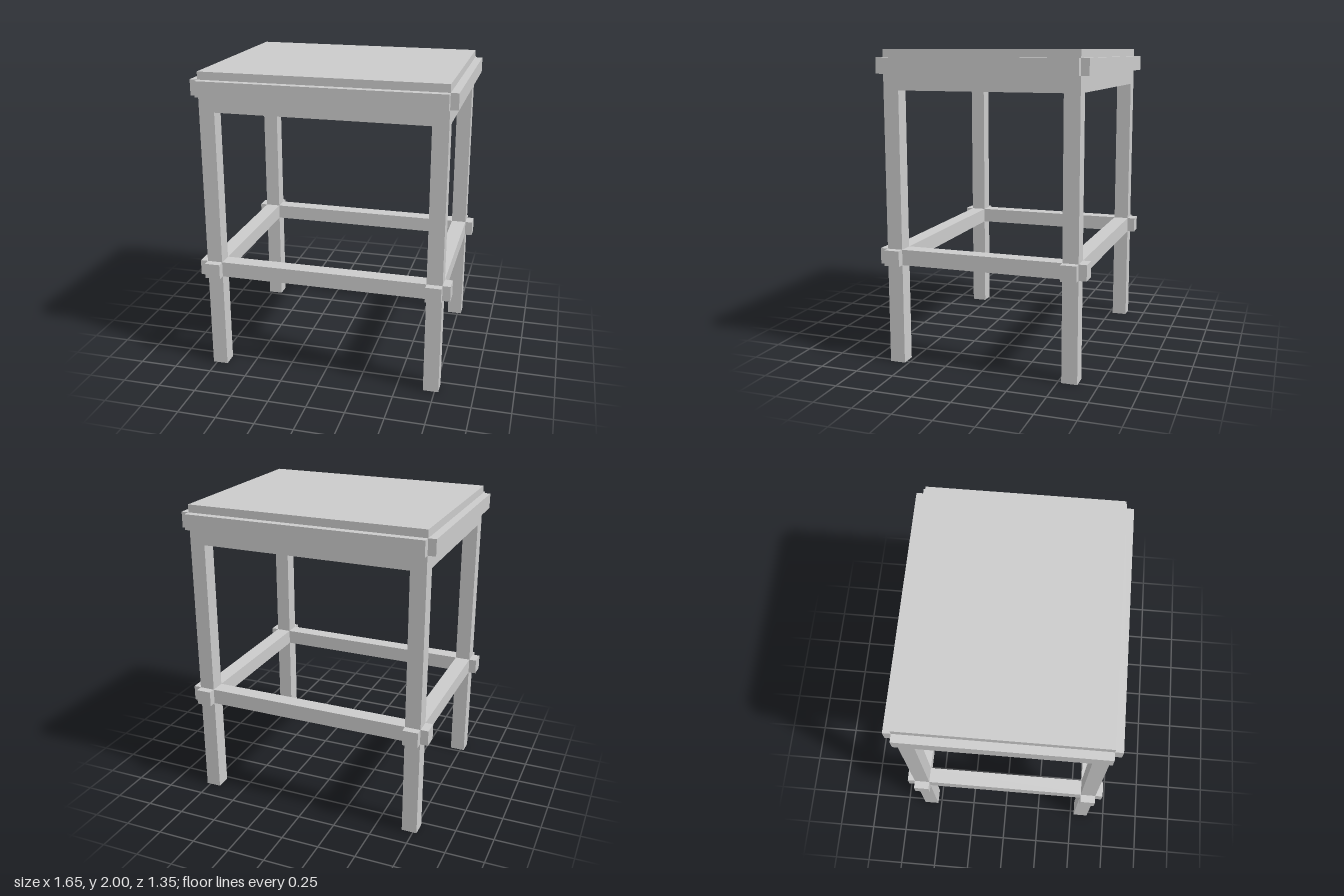
import * as THREE from 'three';

export function createModel() {
  const stool = new THREE.Group();
  stool.name = 'stool';
  const material = new THREE.MeshStandardMaterial({ color: 0xcccccc, flatShading: true });

  const X = 0.775, Z = 0.625;  // half width and half depth of the frame
  const T = 0.1;               // timber thickness
  const OUT = 0.05;            // how far the joints stick out
  const SEAT_BOTTOM = 1.75, SEAT_TOP = 2;

  // Box given by its size, its centre in x and z, and its lower face
  function box(name, w, h, d, x, bottom, z) {
    const mesh = new THREE.Mesh(new THREE.BoxGeometry(w, h, d), material);
    mesh.name = name;
    mesh.position.set(x, bottom + h / 2, z);
    stool.add(mesh);
  }

  // Seat slab
  box('seat', 2 * X, SEAT_TOP - SEAT_BOTTOM, 2 * Z, 0, SEAT_BOTTOM, 0);

  for (const s of [-1, 1]) {
    const side = s > 0 ? 'left' : 'right';
    const end = s > 0 ? 'front' : 'back';

    // Trim strips around the seat, leaving the corners notched
    box(side + 'SeatTrim', OUT, T, 2 * Z, s * (X + OUT / 2), 1.85, 0);
    box(end + 'SeatTrim', 2 * X, T, OUT, 0, 1.85, s * (Z + OUT / 2));

    // Stretcher rails passing through the legs
    box(side + 'Stretcher', T, T, 2 * (Z + OUT), s * (X - T / 2), 0.65, 0);
    box(end + 'Stretcher', 2 * (X + OUT), T, T, 0, 0.65, s * (Z - T / 2));

    // Square legs, flush with the seat corners
    for (const f of [-1, 1]) {
      const name = (f > 0 ? 'front' : 'back') + (s > 0 ? 'Left' : 'Right') + 'Leg';
      box(name, T, SEAT_BOTTOM, T, s * (X - T / 2), 0, f * (Z - T / 2));
    }
  }
  return stool;
}
